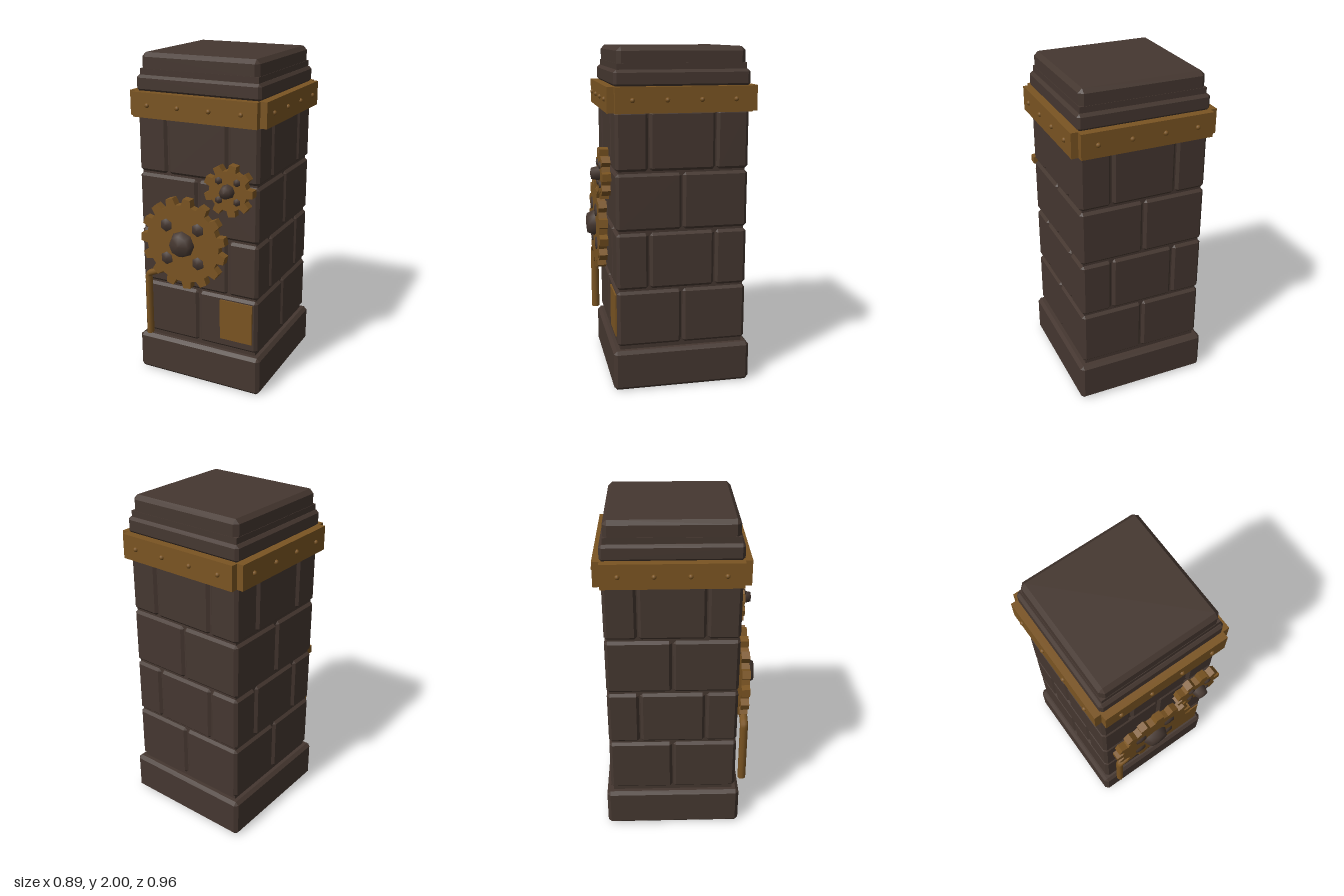
import * as THREE from 'three';
import { ConvexGeometry } from 'three/addons/geometries/ConvexGeometry.js';

const CZ = -0.035; // centre of the pillar in z
const stone = new THREE.MeshStandardMaterial({ color: 0x453730 });
stone.name = 'dark stone';
const brass = new THREE.MeshStandardMaterial({ color: 0x7a5422 });
brass.name = 'aged brass';

function add(parent, name, geometry, material, x = 0, y = 0, z = 0) {
  const mesh = new THREE.Mesh(geometry, material);
  mesh.name = name;
  mesh.position.set(x, y, z);
  parent.add(mesh);
  return mesh;
}

// Box with all edges chamfered by b
function chamferBox(w, h, d, b) {
  const points = [];
  for (const sx of [-1, 1]) for (const sy of [-1, 1]) for (const sz of [-1, 1]) {
    const x = w / 2, y = h / 2, z = d / 2;
    points.push(
      new THREE.Vector3(sx * x, sy * (y - b), sz * (z - b)),
      new THREE.Vector3(sx * (x - b), sy * y, sz * (z - b)),
      new THREE.Vector3(sx * (x - b), sy * (y - b), sz * z));
  }
  return new ConvexGeometry(points);
}

// Toothed disc, extruded towards +z
function gearGeometry(teeth, root, tip, phase, depth) {
  const shape = new THREE.Shape();
  const step = (Math.PI * 2) / teeth;
  const corners = [[-0.32, root], [-0.2, tip], [0.2, tip], [0.32, root]];
  for (let i = 0; i < teeth; i++) {
    corners.forEach(([offset, r], k) => {
      const a = phase + (i + offset) * step;
      const x = Math.cos(a) * r, y = Math.sin(a) * r;
      if (i === 0 && k === 0) shape.moveTo(x, y);
      else shape.lineTo(x, y);
    });
  }
  shape.closePath();
  return new THREE.ExtrudeGeometry(shape, { depth, bevelEnabled: false });
}

// Domed boss facing +z
function bossGeometry(radius, height, sides) {
  const profile = [[radius, 0], [radius, height * 0.5], [radius * 0.76, height * 0.93], [0, height]];
  const g = new THREE.LatheGeometry(profile.map(p => new THREE.Vector2(...p)), sides);
  return g.rotateX(Math.PI / 2);
}

function makeGear(name, x, y, teeth, root, tip, phase, hub, boltOffset, boltRadius) {
  const gear = new THREE.Group();
  gear.name = name;
  gear.position.set(x, y, 0.375);
  add(gear, name + 'Disc', gearGeometry(teeth, root, tip, phase, 0.05), brass);
  add(gear, name + 'Hub', bossGeometry(hub, 0.103, 8), stone);
  for (const sx of [-1, 1]) for (const sy of [-1, 1]) {
    add(gear, name + 'Bolt', bossGeometry(boltRadius, 0.062, 6), stone, sx * boltOffset, sy * boltOffset);
  }
  return gear;
}

export function createModel() {
  const model = new THREE.Group();
  model.name = 'clockworkPillar';

  // Stone base, inner core and stepped cap
  add(model, 'base', chamferBox(0.825, 0.245, 0.825, 0.02), stone, 0, 0.1225, CZ);
  add(model, 'core', new THREE.BoxGeometry(0.74, 1.7, 0.74), stone, 0, 1.06, CZ);
  add(model, 'capLower', chamferBox(0.78, 0.095, 0.78, 0.016), stone, 0, 1.828, CZ);
  add(model, 'capUpper', chamferBox(0.735, 0.12, 0.735, 0.024), stone, 0, 1.94, CZ);

  // Four courses of blocks, alternating two and three to a side
  const courses = [[0.265, 0.605], [0.613, 0.953], [0.962, 1.3], [1.308, 1.65]];
  courses.forEach(([low, high], row) => {
    const cuts = row % 2 ? [-0.388, -0.195, 0.195, 0.388] : [-0.388, 0, 0.388];
    const n = cuts.length - 1;
    for (let i = 0; i < n; i++) for (let j = 0; j < n; j++) {
      if (n === 3 && i === 1 && j === 1) continue;
      const w = cuts[i + 1] - cuts[i], d = cuts[j + 1] - cuts[j];
      add(model, 'block', chamferBox(w - 0.004, high - low, d - 0.004, 0.018), stone,
        (cuts[i] + cuts[i + 1]) / 2, (low + high) / 2, CZ + (cuts[j] + cuts[j + 1]) / 2);
    }
  });

  // Brass band: one riveted strip per side
  for (let side = 0; side < 4; side++) {
    const strip = new THREE.Group();
    strip.name = 'bandSide';
    strip.position.set(0, 1.713, CZ);
    strip.rotation.y = (side * Math.PI) / 2;
    add(strip, 'bandStrip', new THREE.BoxGeometry(0.78, 0.145, 0.05), brass, 0, 0, 0.405);
    for (let i = 0; i < 4; i++) {
      add(strip, 'rivet', new THREE.SphereGeometry(0.014, 10, 8), brass, (i - 1.5) * 0.196, 0, 0.43);
    }
    model.add(strip);
  }

  // Gears on the front
  model.add(makeGear('largeGear', -0.065, 0.92, 15, 0.238, 0.28, 1.456, 0.081, 0.104, 0.049));
  model.add(makeGear('smallGear', 0.232, 1.285, 9, 0.116, 0.152, 1.38, 0.043, 0.056, 0.027));

  // Bent pipe leading up to the large gear
  const bend = new THREE.CurvePath();
  const a = new THREE.Vector3(-0.315, 0.28, 0), b = new THREE.Vector3(-0.315, 0.665, 0);
  const c = new THREE.Vector3(-0.297, 0.69, 0), d = new THREE.Vector3(-0.19, 0.735, 0);
  bend.add(new THREE.LineCurve3(a, b));
  bend.add(new THREE.QuadraticBezierCurve3(b, new THREE.Vector3(-0.315, 0.682, 0), c));
  bend.add(new THREE.LineCurve3(c, d));
  const pipe = add(model, 'pipe', new THREE.TubeGeometry(bend, 40, 0.02, 8), brass, 0, 0, 0.401);
  pipe.scale.z = 1.25;
  const end = add(model, 'pipeEnd', new THREE.CircleGeometry(0.02, 8), brass, 0, 0, 0);
  end.position.set(-0.315, 0.28, 0.401);
  end.rotation.x = Math.PI / 2;
  end.scale.y = 1.25;

  // Thin brass plate at the lower front
  add(model, 'plate', new THREE.BoxGeometry(0.21, 0.255, 0.009), brass, 0.253, 0.453, 0.356);

  return model;
}
